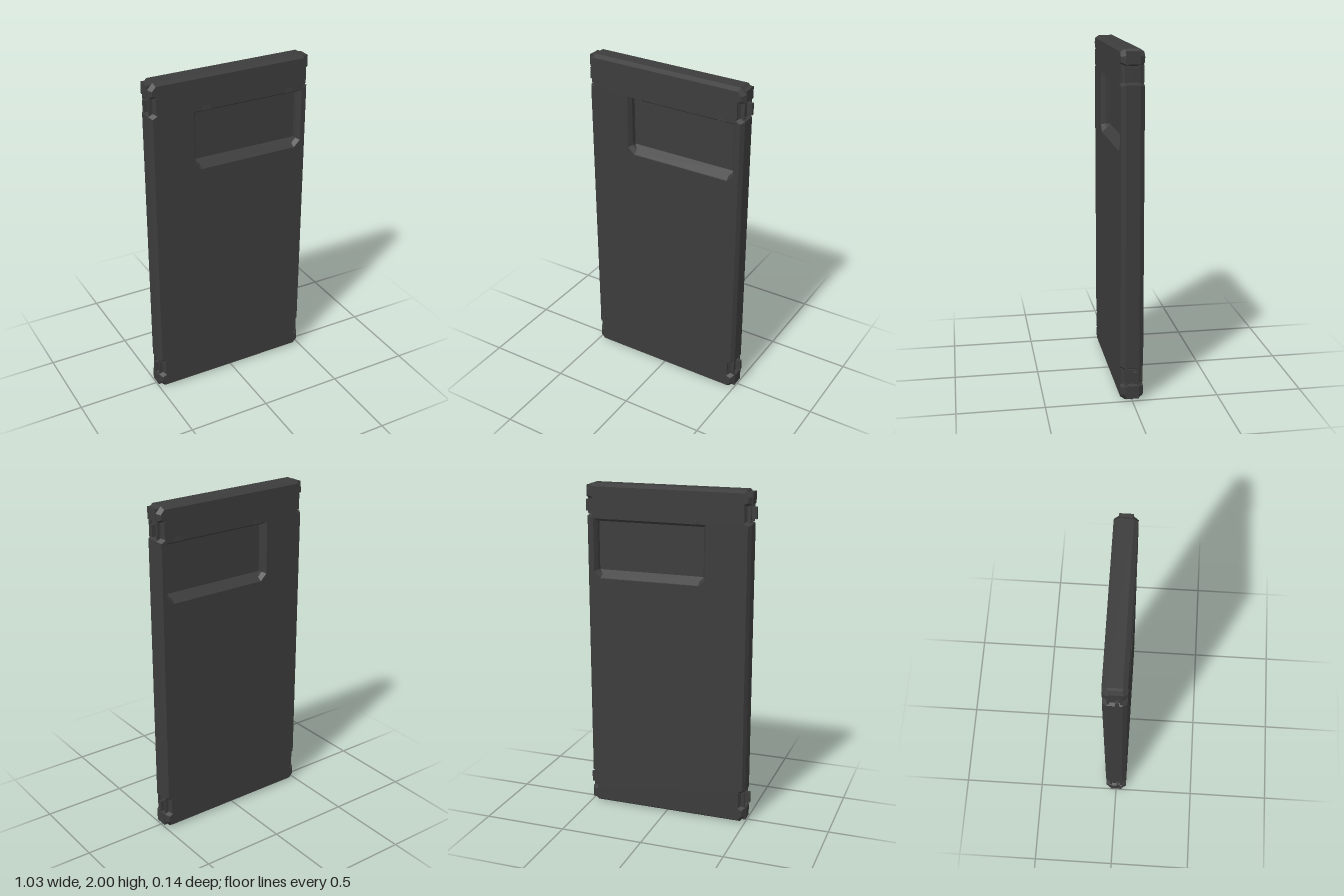
import * as THREE from 'three';

const HALF = 0.065; // half thickness of the door
const BEVEL = 0.016;

export function createModel() {
  const group = new THREE.Group();
  group.name = 'door';
  const material = new THREE.MeshStandardMaterial({ color: 0x3c3c3c, flatShading: true });

  const add = (name, geometry, x = 0, y = 0, z = 0) => {
    const mesh = new THREE.Mesh(geometry, material);
    mesh.name = name;
    mesh.position.set(x, y, z);
    group.add(mesh);
    return mesh;
  };
  const box = (name, x0, x1, y0, y1, z0, z1) =>
    add(name, new THREE.BoxGeometry(x1 - x0, y1 - y0, z1 - z0),
      (x0 + x1) / 2, (y0 + y1) / 2, (z0 + z1) / 2);
  const points = (list) => list.map(([x, y]) => new THREE.Vector2(x, y));

  // Slab outline: clipped corners and hinge notches, mirrored to the other edge
  const edge = [
    [0.465, 0], [0.497, 0.035], [0.497, 0.09], [0.47, 0.1], [0.47, 0.185], [0.497, 0.2],
    [0.497, 1.81], [0.47, 1.825], [0.47, 1.91], [0.497, 1.92], [0.497, 1.965], [0.465, 2],
  ];
  const mirrored = edge.map(([x, y]) => [-x, y]).reverse();
  const outline = new THREE.Shape(points([...edge, ...mirrored]));
  outline.holes.push(new THREE.Path(points([
    [-0.22, 1.782], [-0.22, 1.49], [-0.19, 1.46], [0.405, 1.46],
    [0.435, 1.49], [0.435, 1.782],
  ])));
  const slab = new THREE.ExtrudeGeometry(outline, {
    depth: 2 * (HALF - 0.025), bevelEnabled: true, bevelSegments: 1,
    bevelSize: BEVEL, bevelOffset: -BEVEL, bevelThickness: 0.025,
  });
  slab.translate(0, 0, -(HALF - 0.025));
  add('doorPanel', slab);

  // Window pane with a sloping sill on both faces
  box('windowPane', -0.23, 0.445, 1.45, 1.79, -0.012, 0.012);
  const sill = new THREE.ExtrudeGeometry(new THREE.Shape(points([
    [-HALF + 0.001, 1.444], [HALF - 0.001, 1.444], [0.012, 1.488], [-0.012, 1.488],
  ])), { depth: 0.655, bevelEnabled: false });
  sill.rotateY(Math.PI / 2);
  add('windowSill', sill, -0.22);

  // Pairs of small clips above the window, front and back
  for (const side of [-1, 1]) {
    for (const x of [-0.16, 0.37]) {
      for (const y of [1.802, 1.815]) {
        add('windowClip', new THREE.BoxGeometry(0.055, 0.008, 0.008), x, y, side * HALF);
      }
    }
  }

  // Stepped corner blocks and hinges on both long edges
  for (const side of [-1, 1]) {
    const part = (name, x0, x1, y0, y1, z0, z1) =>
      box(name, Math.min(side * x0, side * x1), Math.max(side * x0, side * x1), y0, y1, z0, z1);

    part('cornerBlock', 0.45, 0.5, 1.92, 1.988, -0.038, 0.038);
    part('cornerBlock', 0.45, 0.5, 0.014, 0.088, -0.038, 0.038);

    for (const y of [0.1, 1.825]) {
      part('hingePlate', 0.44, 0.482, y, y + 0.085, -0.04, 0.04);
      for (const z of [-0.04, 0.028]) {
        part('hingeCheek', 0.465, 0.492, y - 0.005, y + 0.09, z, z + 0.012);
      }
      const pegZ = -side * 0.014;
      part('hingePeg', 0.475, 0.513, y + 0.01, y + 0.077, pegZ - 0.009, pegZ + 0.009);
      // Thin raised fixing plate on each face beside the notch
      for (const face of [-1, 1]) {
        part('hingeFixing', 0.437, 0.46, y - 0.005, y + 0.09,
          face * (HALF - 0.005) - 0.006, face * (HALF - 0.005) + 0.006);
      }
    }
  }
  return group;
}
